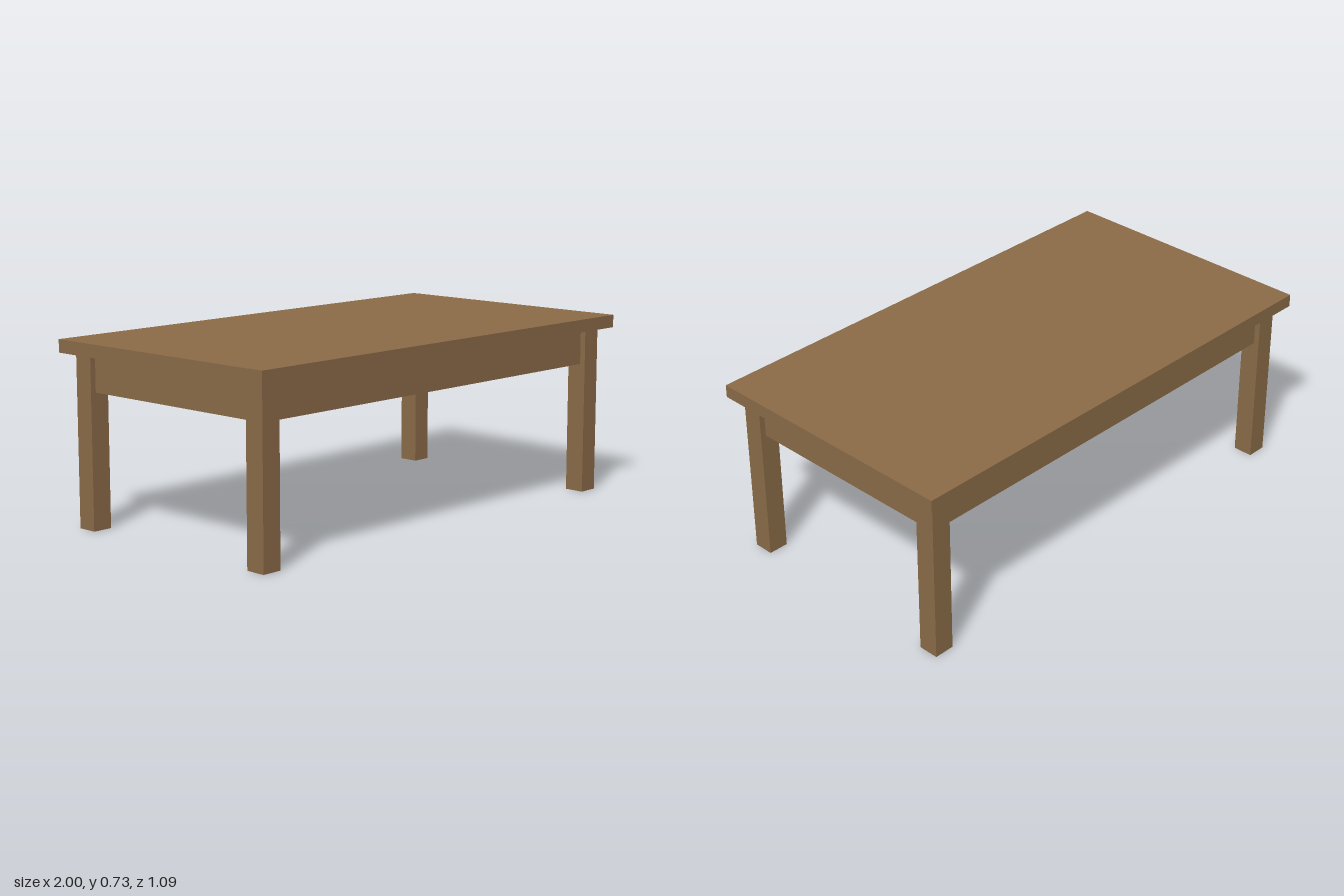
import * as THREE from 'three';

export function createModel() {
  const table = new THREE.Group();
  table.name = 'coffeeTable';

  const wood = new THREE.MeshStandardMaterial({ color: 0x8b6b47 });
  wood.name = 'brown wood';

  const addBox = (name, [w, h, d], [x, y, z]) => {
    const mesh = new THREE.Mesh(new THREE.BoxGeometry(w, h, d), wood);
    mesh.name = name;
    mesh.position.set(x, y, z);
    table.add(mesh);
  };

  const height = 0.727, topThickness = 0.051;
  const legHeight = height - topThickness;
  const leg = 0.082, legX = 0.914, legZ = 0.459;
  const apronHeight = 0.1455, apronThickness = 0.036;
  const apronY = legHeight - apronHeight / 2;

  // Overhanging slab
  addBox('tableTop', [2, topThickness, 1.091], [0, height - topThickness / 2, 0]);

  // Square legs at the corners
  for (const [sideName, sx] of [['Left', 1], ['Right', -1]]) {
    for (const [endName, sz] of [['front', 1], ['back', -1]]) {
      addBox(`${endName}${sideName}Leg`, [leg, legHeight, leg], [sx * legX, legHeight / 2, sz * legZ]);
    }
  }

  // Apron boards between the legs, centred on the leg thickness
  for (const [name, s] of [['front', 1], ['back', -1]]) {
    addBox(`${name}Apron`, [2 * legX - leg, apronHeight, apronThickness], [0, apronY, s * legZ]);
  }
  for (const [name, s] of [['left', 1], ['right', -1]]) {
    addBox(`${name}Apron`, [apronThickness, apronHeight, 2 * legZ - leg], [s * legX, apronY, 0]);
  }

  return table;
}
